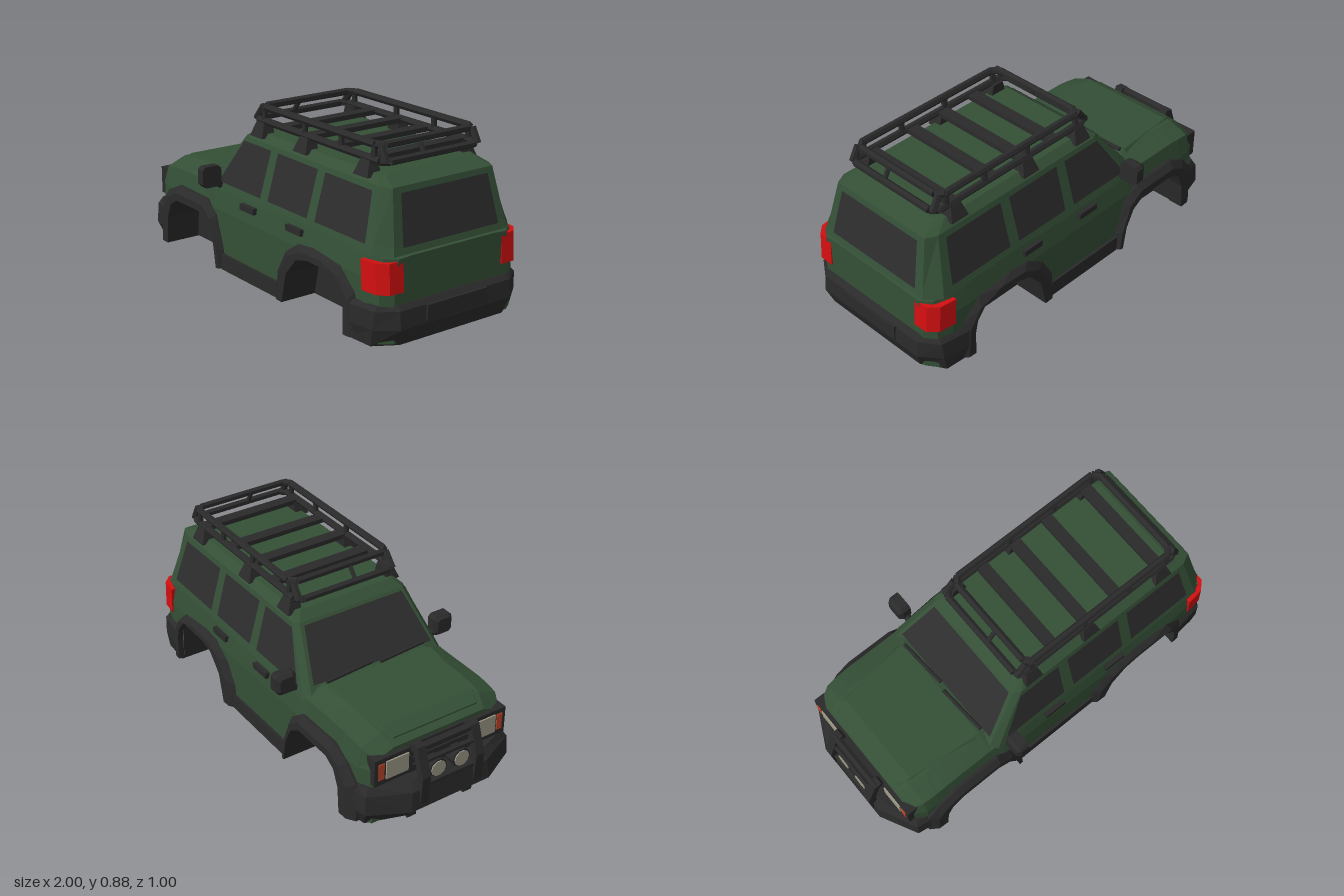
import * as THREE from 'three';

const mat = (name, color, side = THREE.FrontSide) =>
  Object.assign(new THREE.MeshStandardMaterial({ color, side, flatShading: true }), { name });

export function createModel() {
  const car = new THREE.Group();
  car.name = 'offRoadCar';
  const paint = mat('green paint', 0x344f36);
  const trim = mat('dark trim', 0x2a2a2b);
  const glass = mat('tinted glass', 0x2d2d2e, THREE.DoubleSide);
  const lamp = mat('lamp lens', 0x9c9885);
  const red = mat('red lens', 0xd40f10);
  const amber = mat('amber lens', 0xb8452a);

  const add = (name, geo, m) => {
    const mesh = new THREE.Mesh(geo, m);
    mesh.name = name;
    car.add(mesh);
    return mesh;
  };
  const box = (name, m, x0, x1, y0, y1, z0, z1) => {
    const mesh = add(name, new THREE.BoxGeometry(x1 - x0, y1 - y0, Math.abs(z1 - z0)), m);
    mesh.position.set((x0 + x1) / 2, (y0 + y1) / 2, (z0 + z1) / 2);
    return mesh;
  };
  // Straight six-sided bar between two points
  const bar = (name, a, b, r = 0.018, m = trim, sides = 6) => {
    const p = new THREE.Vector3(...a), d = new THREE.Vector3(...b).sub(p);
    const mesh = add(name, new THREE.CylinderGeometry(r, r, d.length(), sides), m);
    mesh.position.copy(p).addScaledVector(d, 0.5);
    mesh.quaternion.setFromUnitVectors(new THREE.Vector3(0, 1, 0), d.normalize());
    return mesh;
  };
  // Closed skin through equal-length rings of [x, y, z]; inRange picks segments of the ring
  const loft = (rings, inRange = () => true, caps = true) => {
    const n = rings[0].length, tris = [];
    let volume = 0;
    const v = (p) => new THREE.Vector3(...p);
    const tri = (a, b, c, keep) => {
      volume += v(a).dot(v(b).cross(v(c)));
      if (keep) tris.push([a, b, c]);
    };
    for (let i = 0; i < rings.length - 1; i++)
      for (let j = 0; j < n; j++) {
        const k = (j + 1) % n, [p, q] = [rings[i], rings[i + 1]];
        tri(p[j], p[k], q[k], inRange(j));
        tri(p[j], q[k], q[j], inRange(j));
      }
    const [s, e] = [rings[0], rings[rings.length - 1]];
    for (let j = 1; j < n - 1; j++) {
      tri(s[0], s[j + 1], s[j], caps);
      tri(e[0], e[j], e[j + 1], caps);
    }
    if (volume < 0) tris.forEach((t) => t.reverse());
    const geo = new THREE.BufferGeometry();
    geo.setAttribute('position', new THREE.Float32BufferAttribute(tris.flat(2), 3));
    geo.computeVertexNormals();
    return geo;
  };
  // Half outline continued by its mirror image across z = 0
  const sym = (pts) => [...pts, ...pts.map(([x, y, z]) => [x, y, -z]).reverse()];
  const layers = (rows) => loft(rows.map(([y, ...plan]) => sym(plan.map(([x, z]) => [x, y, z]))));
  const panel = (name, pts, m = glass) => {
    const geo = new THREE.BufferGeometry(), out = [];
    for (let i = 1; i < pts.length - 1; i++) out.push(pts[0], pts[i], pts[i + 1]);
    geo.setAttribute('position', new THREE.Float32BufferAttribute(out.flat(), 3));
    geo.computeVertexNormals();
    add(name, geo, m);
  };

  // Lower body: x, arch height, half width, shoulder height, top height
  const hull = [
    [-0.88, 0.03, 0.36, 0.37, 0.41], [-0.81, 0.03, 0.395, 0.415, 0.455], [-0.74, 0.03, 0.4, 0.425, 0.465],
    [-0.73, 0.17, 0.4, 0.425, 0.466], [-0.69, 0.25, 0.4, 0.43, 0.47], [-0.63, 0.285, 0.4, 0.43, 0.473],
    [-0.41, 0.285, 0.4, 0.43, 0.478], [-0.34, 0.24, 0.405, 0.43, 0.46], [-0.295, 0.15, 0.405, 0.43, 0.44],
    [-0.275, 0.03, 0.405, 0.43, 0.44], [0.285, 0.03, 0.41, 0.43, 0.44], [0.32, 0.18, 0.41, 0.43, 0.44],
    [0.4, 0.27, 0.41, 0.43, 0.44], [0.48, 0.29, 0.41, 0.43, 0.44], [0.67, 0.29, 0.41, 0.43, 0.44],
    [0.73, 0.22, 0.41, 0.43, 0.44], [0.745, 0.03, 0.41, 0.43, 0.44], [0.85, 0.03, 0.405, 0.425, 0.43],
    [0.925, 0.03, 0.385, 0.415, 0.42], [0.962, 0.03, 0.33, 0.41, 0.415],
  ].map(([x, ya, w, ys, yt]) => sym([
    [x, 0.03, 0.25], [x, ya, 0.25], [x, ya, w], [x, 0.32, w], [x, ys, w - 0.02], [x, yt, w * 0.7],
  ]));
  const isPaint = (j) => j >= 2 && j <= 8;
  add('lowerBody', loft(hull, isPaint), paint);
  add('floorAndWheelWells', loft(hull, (j) => !isPaint(j), false), trim);

  // Cabin with sloping sides, windscreen and tail
  add('cabin', layers([
    [0.42, [-0.415, 0.365], [-0.37, 0.392], [0.885, 0.392], [0.952, 0.33]],
    [0.46, [-0.385, 0.355], [-0.345, 0.38], [0.875, 0.38], [0.94, 0.32]],
    [0.7, [-0.2, 0.29], [-0.17, 0.312], [0.83, 0.312], [0.885, 0.285]],
    [0.735, [-0.15, 0.255], [-0.13, 0.275], [0.76, 0.275], [0.79, 0.25]],
  ]), paint);
  const sideZ = (y) => 0.384 - 0.283 * (y - 0.46);
  const frontX = (y) => -0.391 + 0.771 * (y - 0.46);
  const rearX = (y) => 0.945 - 0.229 * (y - 0.46);
  const windows = [
    [[-0.315, 0.458], [-0.18, 0.68], [0.045, 0.68], [0.04, 0.458]],
    [[0.1, 0.458], [0.1, 0.68], [0.41, 0.677], [0.407, 0.458]],
    [[0.465, 0.458], [0.465, 0.677], [0.795, 0.675], [0.825, 0.458]],
  ];
  for (const s of [1, -1])
    windows.forEach((w) => panel('sideWindow', w.map(([x, y]) => [x, y, s * sideZ(y)])));
  const ends = (name, fx, y0, z0, y1, z1) =>
    panel(name, [[fx(y0), y0, z0], [fx(y0), y0, -z0], [fx(y1), y1, -z1], [fx(y1), y1, z1]]);
  ends('windscreen', frontX, 0.475, 0.335, 0.69, 0.275);
  ends('rearWindow', rearX, 0.45, 0.275, 0.675, 0.248);

  // Raised bonnet centre and wipers
  add('bonnetPanel', loft([[-0.85, 0.437, 0.23], [-0.79, 0.467, 0.25], [-0.43, 0.486, 0.29]].map(
    ([x, y, z]) => sym([[x, y - 0.03, z + 0.02], [x, y, z]]))), paint);
  for (const [a, b] of [[-0.28, -0.02], [0.02, 0.28]]) bar('wiper', [-0.405, 0.49, a], [-0.39, 0.495, b], 0.01);

  // Bumpers
  add('frontBumper', layers([
    [0.02, [-0.76, 0.4], [-0.85, 0.38], [-0.91, 0.2]],
    [0.1, [-0.74, 0.43], [-0.89, 0.405], [-0.985, 0.22]],
    [0.2, [-0.74, 0.43], [-0.885, 0.4], [-0.975, 0.21]],
    [0.235, [-0.82, 0.4], [-0.87, 0.38], [-0.94, 0.2]],
  ]), trim);
  add('rearBumper', layers([
    [0.02, [0.75, 0.42], [0.9, 0.41], [0.965, 0.3]],
    [0.1, [0.75, 0.44], [0.92, 0.415], [0.995, 0.32]],
    [0.185, [0.75, 0.437], [0.925, 0.41], [0.988, 0.32]],
    [0.207, [0.8, 0.41], [0.92, 0.39], [0.966, 0.31]],
  ]), trim);
  box('rearPlateMount', trim, 0.98, 1, 0.11, 0.185, -0.175, 0.175);

  // Wheel arch flares: inner and outer edges
  const flares = [
    [[[-0.735, 0.03], [-0.725, 0.17], [-0.69, 0.25], [-0.63, 0.285], [-0.41, 0.285], [-0.34, 0.24], [-0.295, 0.15], [-0.275, 0.03]],
      [[-0.83, 0.03], [-0.82, 0.23], [-0.75, 0.31], [-0.65, 0.355], [-0.39, 0.35], [-0.31, 0.29], [-0.25, 0.12], [-0.24, 0.03]]],
    [[[0.285, 0.03], [0.32, 0.18], [0.4, 0.27], [0.48, 0.29], [0.67, 0.29], [0.73, 0.22], [0.745, 0.15], [0.745, 0.03]],
      [[0.2, 0.03], [0.215, 0.16], [0.28, 0.27], [0.38, 0.335], [0.49, 0.345], [0.69, 0.325], [0.79, 0.23], [0.82, 0.03]]],
  ];
  for (const s of [1, -1]) {
    for (const [inner, outer] of flares)
      add('archFlare', loft(inner.map(([x, y], i) => {
        const [u, v] = outer[i], m = [x * 0.45 + u * 0.55, y * 0.45 + v * 0.55];
        return [[x, y, s * 0.36], [x, y, s * 0.44], [...m, s * 0.438], [u, v, s * 0.41], [u, v, s * 0.36]];
      })), trim);
    box('sill', trim, -0.25, 0.22, 0.025, 0.105, s * 0.37, s * 0.42);

    // Door handles and mirrors
    box('doorHandle', trim, -0.09, 0.025, 0.375, 0.405, s * 0.39, s * 0.415);
    box('doorHandle', trim, 0.285, 0.4, 0.375, 0.405, s * 0.39, s * 0.415);
    bar('mirrorArm', [-0.3, 0.435, s * 0.37], [-0.3, 0.48, s * 0.43], 0.02);
    const plan = (x, i) => [[0.395, 0.46], [0.41, 0.445], [0.48, 0.445], [0.5, 0.465], [0.5, 0.535],
      [0.485, 0.55], [0.41, 0.55], [0.395, 0.535]].map(([z, y]) => [x, 0.5 + (y - 0.5) * i, s * (0.447 + (z - 0.447) * i)]);
    add('mirror', loft([plan(-0.34, 0.75), plan(-0.32, 1), plan(-0.275, 1)]), trim);

    // Lights
    add('tailLight', loft([0.26, 0.4].map((y) => [[0.84, 0.36], [0.84, 0.413], [0.925, 0.402], [0.968, 0.36], [0.97, 0.285], [0.92, 0.285]]
      .map(([x, z]) => [x - (y - 0.26) * 0.06, y, s * z]))), red);
    box('headlightSurround', trim, -0.9, -0.84, 0.25, 0.39, s * 0.16, s * 0.365);
    box('headlight', lamp, -0.907, -0.89, 0.275, 0.37, s * 0.185, s * 0.305);
    box('turnSignal', amber, -0.905, -0.89, 0.28, 0.365, s * 0.315, s * 0.345);
    bar('spotLampBody', [-0.91, 0.27, s * 0.065], [-0.965, 0.27, s * 0.065], 0.048, trim, 10);
    bar('spotLampLens', [-0.96, 0.27, s * 0.065], [-0.97, 0.27, s * 0.065], 0.04, lamp, 10);

    // Bull bar side hoop
    const side = [[-0.985, 0.12], [-0.995, 0.27], [-0.945, 0.41], [-0.905, 0.415], [-0.885, 0.37],
      [-0.92, 0.375], [-0.955, 0.27], [-0.94, 0.12]];
    const hoop = new THREE.ExtrudeGeometry(new THREE.Shape(side.map((p) => new THREE.Vector2(...p))), { depth: 0.045, bevelEnabled: false });
    add('bullBarUpright', hoop, trim).position.z = s * 0.15 - 0.0225;
    box('bumperFoot', trim, -0.91, -0.84, 0, 0.04, s * 0.135, s * 0.185);
  }
  box('grille', trim, -0.892, -0.85, 0.24, 0.395, -0.17, 0.17);
  for (let i = 0; i < 3; i++) box('grilleSlat', trim, -0.9, -0.88, 0.27 + i * 0.04, 0.285 + i * 0.04, -0.16, 0.16);
  bar('bullBarTop', [-0.93, 0.395, -0.16], [-0.93, 0.395, 0.16], 0.02);
  bar('bullBarMiddle', [-0.955, 0.335, -0.16], [-0.955, 0.335, 0.16], 0.014);
  bar('bullBarLower', [-0.965, 0.215, -0.16], [-0.965, 0.215, 0.16], 0.02);

  // Roof rack: two closed loops, posts, slats and feet
  const low = [-0.155, 0.81, 0.79, 0.27], high = [-0.1, 0.775, 0.857, 0.268];
  for (const [x0, x1, y, z] of [low, high]) {
    const c = 0.03;
    const loop = [[x0, z - c], [x0 + c, z], [x1 - c, z], [x1, z - c], [x1, c - z], [x1 - c, -z], [x0 + c, -z], [x0, c - z]];
    loop.forEach(([x, w], i) => {
      const [u, v] = loop[(i + 1) % 8];
      bar('rackRail', [x, y, w], [u, y, v]);
    });
  }
  for (const s of [1, -1]) {
    for (const i of [0, 1]) bar('rackCorner', [low[i], 0.79, s * 0.262], [high[i], 0.857, s * 0.26]);
    for (const x of [-0.08, 0.24, 0.51, 0.74]) bar('rackPost', [x, 0.79, s * 0.27], [x, 0.857, s * 0.268], 0.015);
    for (const x of [-0.09, 0.255, 0.7])
      add('rackFoot', loft([[0.715, 0.05, 0.24, 0.315], [0.785, 0.03, 0.24, 0.288]].map(([y, h, a, b]) =>
        [[x - h, y, s * a], [x + h, y, s * a], [x + h, y, s * b], [x - h, y, s * b]])), trim);
  }
  bar('rackEndPost', [0.81, 0.79, 0.05], [0.775, 0.857, 0.05], 0.012);
  bar('rackEndPost', [-0.155, 0.79, 0.05], [-0.1, 0.857, 0.05], 0.012);
  for (const x of [0.065, 0.26, 0.455, 0.7]) box('rackSlat', trim, x - 0.03, x + 0.03, 0.775, 0.798, -0.27, 0.27);
  return car;
}
